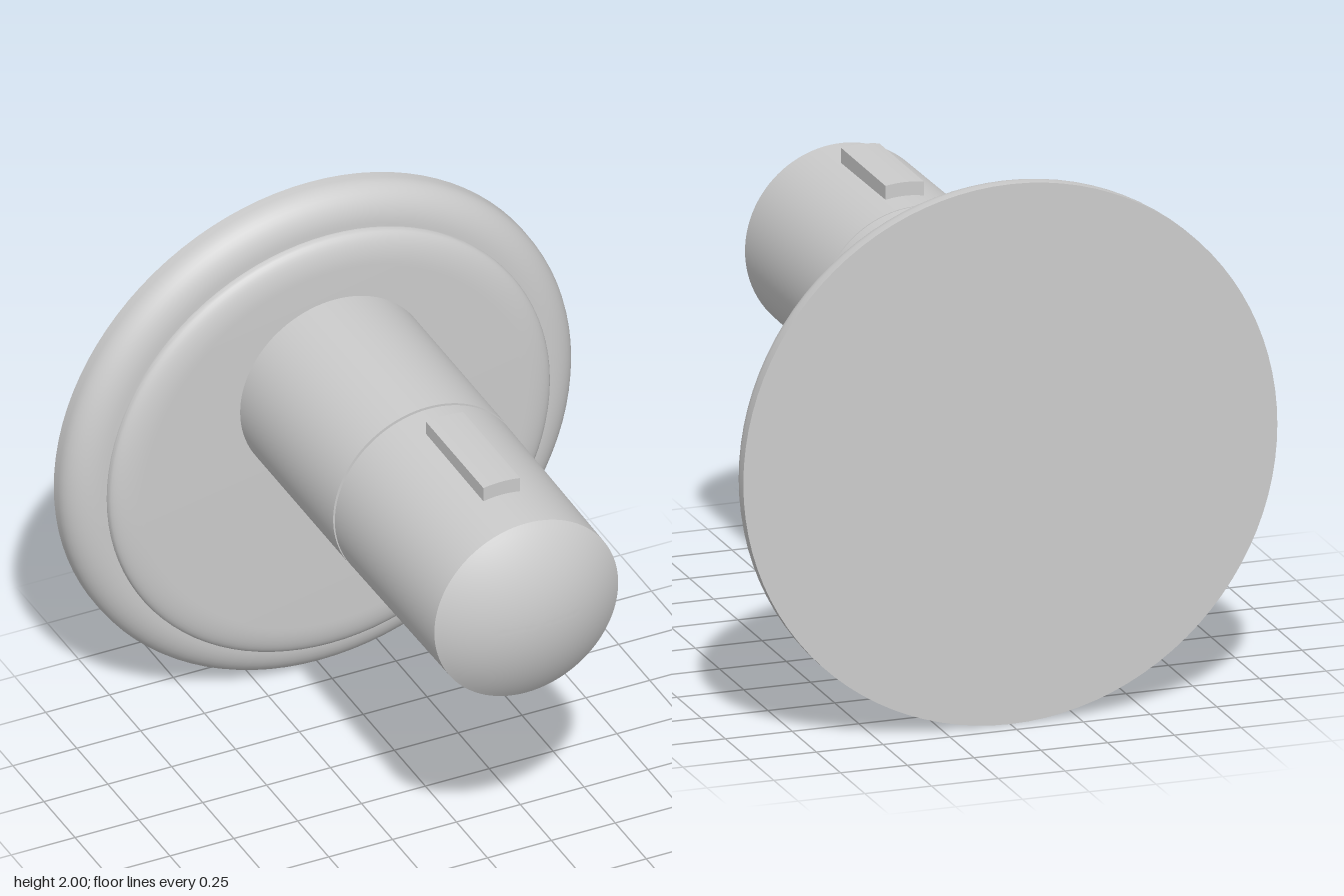
import * as THREE from 'three';
import { toCreasedNormals } from 'three/addons/utils/BufferGeometryUtils.js';

const material = new THREE.MeshStandardMaterial({ color: 0xcccccc });
const AXIS_Y = 1.255; // height of the post and knob axis

// Points along an elliptical quarter fillet, from (r + a, z) round to (r, z + b)
function fillet(r, z, a, b, steps = 10) {
  return Array.from({ length: steps + 1 }, (_, i) => {
    const t = (i / steps) * Math.PI / 2;
    return [r + a * Math.cos(t), z + b * Math.sin(t)];
  });
}

// Solid of revolution about the z axis from [radius, z] pairs, back to front
function turned(name, profile, y) {
  const points = profile.map(([r, z]) => new THREE.Vector2(r, z));
  const geometry = new THREE.LatheGeometry(points, 96).rotateX(Math.PI / 2);
  const mesh = new THREE.Mesh(toCreasedNormals(geometry, 0.4), material);
  mesh.name = name;
  mesh.position.y = y;
  return mesh;
}

export function createModel() {
  const group = new THREE.Group();
  group.name = 'wallKnob';

  // Wide back plate with a rounded front rim
  group.add(turned('backPlate', [
    [0, -0.935], [1, -0.935], ...fillet(0.87, -0.9, 0.13, 0.1), [0, -0.8],
  ], 1));

  // Raised face plate, standing on a thin shadow gap
  group.add(turned('facePlate', [
    [0, -0.81], [0.85, -0.81], [0.85, -0.787], [0.865, -0.787],
    ...fillet(0.74, -0.78, 0.125, 0.05), [0, -0.73],
  ], 1));

  // Fixed post and the narrow neck behind the knob
  group.add(turned('post', [
    [0, -0.75], [0.37, -0.75], [0.37, 0.018], [0, 0.018],
  ], AXIS_Y));
  group.add(turned('neck', [
    [0, 0], [0.318, 0], [0.318, 0.05], [0, 0.05],
  ], AXIS_Y));

  // Slightly tapered turning knob with a spherical cap
  const rim = 0.36, rimZ = 0.812, rise = 0.123;
  const capR = (rim * rim + rise * rise) / (2 * rise);
  const capAngle = Math.asin(rim / capR);
  const cap = Array.from({ length: 17 }, (_, i) => {
    const a = capAngle * (1 - i / 16);
    return [capR * Math.sin(a), rimZ + rise - capR * (1 - Math.cos(a))];
  });
  group.add(turned('knob', [[0, 0.028], [0.368, 0.028], ...cap], AXIS_Y));

  // Grip rib on top of the knob, its crown concentric with the knob
  const half = 0.072, crownR = 0.417;
  const angle = Math.asin(half / crownR);
  const section = new THREE.Shape();
  section.moveTo(-half, 0.33);
  section.lineTo(half, 0.33);
  section.absarc(0, 0, crownR, Math.PI / 2 - angle, Math.PI / 2 + angle, false);
  section.closePath();
  const ribGeometry = new THREE.ExtrudeGeometry(section, {
    depth: 0.46, bevelEnabled: false, curveSegments: 10,
  });
  const rib = new THREE.Mesh(toCreasedNormals(ribGeometry, 0.4), material);
  rib.name = 'gripRib';
  rib.position.set(0, AXIS_Y, 0.155);
  group.add(rib);

  return group;
}
